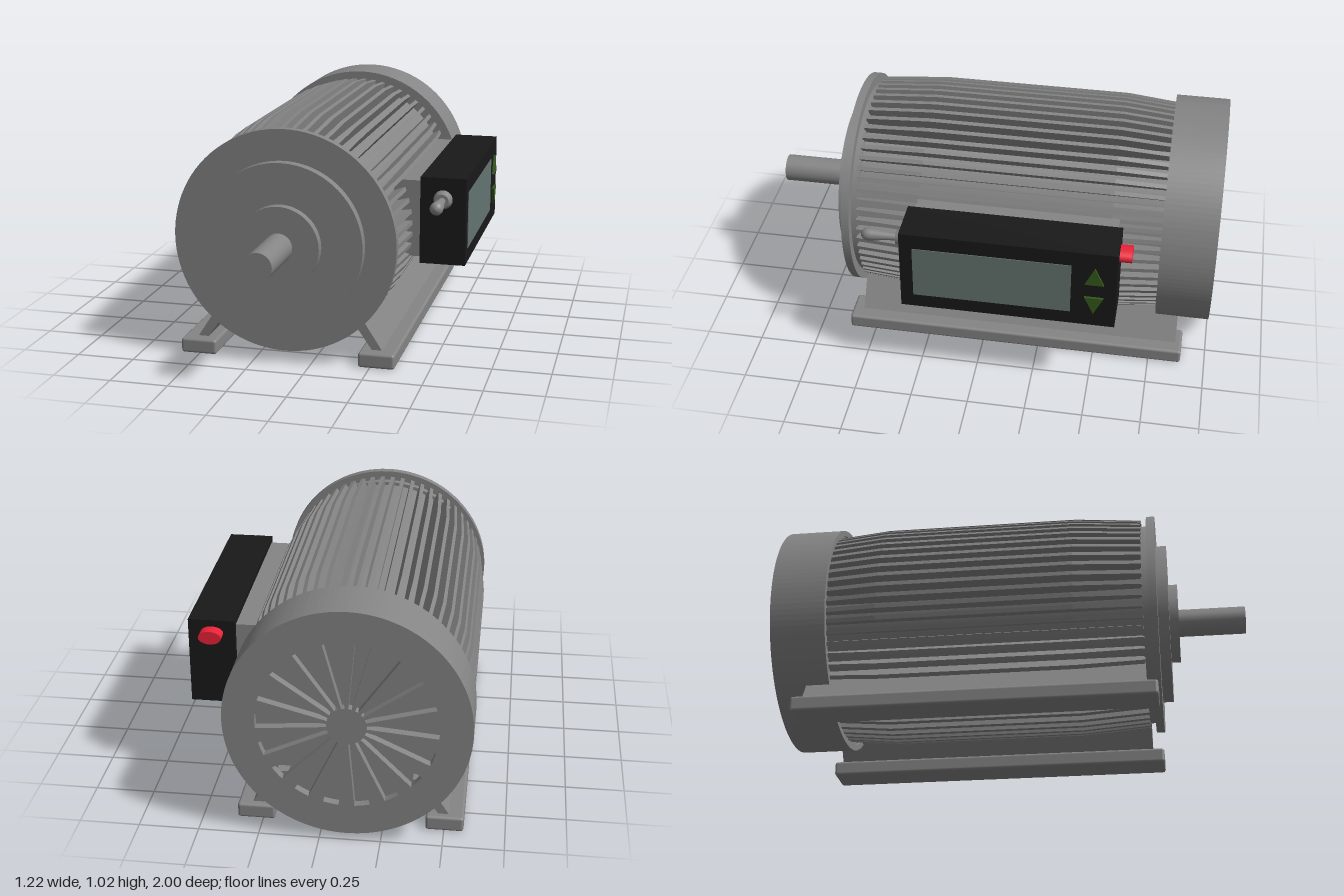
import * as THREE from 'three';
import { RoundedBoxGeometry } from 'three/addons/geometries/RoundedBoxGeometry.js';

const AX = -0.112, AY = 0.528; // motor axis
const mat = (color) => new THREE.MeshStandardMaterial({ color });

export function createModel() {
  const grey = mat(0x858585), black = mat(0x191919), screenMat = mat(0x657572);
  const red = mat(0xec2238), green = mat(0x355a1b);
  const model = new THREE.Group();
  model.name = 'electricMotor';

  const add = (parent, name, geometry, material, x = 0, y = 0, z = 0) => {
    const mesh = new THREE.Mesh(geometry, material);
    mesh.name = name;
    mesh.position.set(x, y, z);
    parent.add(mesh);
    return mesh;
  };
  const box = (name, m, x0, x1, y0, y1, z0, z1) =>
    add(model, name, new THREE.BoxGeometry(x1 - x0, y1 - y0, z1 - z0), m,
      (x0 + x1) / 2, (y0 + y1) / 2, (z0 + z1) / 2);

  // Everything turned about the motor axis
  const motor = new THREE.Group();
  motor.name = 'motor';
  motor.position.set(AX, AY, 0);
  model.add(motor);
  const disc = (name, r, z0, z1) =>
    add(motor, name, new THREE.CylinderGeometry(r, r, z1 - z0, 96).rotateX(Math.PI / 2),
      grey, 0, 0, (z0 + z1) / 2);

  disc('core', 0.42, -0.78, 0.57);
  disc('rearFlange', 0.475, -0.82, -0.775);
  disc('frontNeck', 0.435, 0.56, 0.595);
  disc('frontFlange', 0.477, 0.59, 0.625);
  disc('bearingCover', 0.345, 0.62, 0.67);
  disc('bearingBoss', 0.172, 0.66, 0.71);
  disc('shaft', 0.06, 0.7, 1);

  // Cooling fins, lower towards both ends
  const finShape = new THREE.Shape([
    [-0.78, 0.4], [0.565, 0.4], [0.565, 0.46], [0.28, 0.482], [-0.55, 0.482], [-0.78, 0.46],
  ].map(([z, r]) => new THREE.Vector2(z, r)));
  const finGeo = new THREE.ExtrudeGeometry(finShape, { depth: 0.018, bevelEnabled: false });
  finGeo.translate(0, 0, -0.009).rotateY(-Math.PI / 2);
  const fins = new THREE.Group();
  fins.name = 'coolingFins';
  fins.position.x = -0.005;
  motor.add(fins);
  const FINS = 60;
  for (let i = 0; i < FINS; i++) {
    add(fins, 'fin', finGeo, grey).rotation.z = ((i + 0.5) / FINS) * Math.PI * 2;
  }

  // Fan cover: open ring plus a slotted back plate
  const ring = new THREE.Shape().absarc(0, 0, 0.497, 0, Math.PI * 2);
  ring.holes.push(new THREE.Path().absarc(0, 0, 0.472, 0, Math.PI * 2, true));
  add(motor, 'fanCoverRing', new THREE.ExtrudeGeometry(ring,
    { depth: 0.2, bevelEnabled: false, curveSegments: 64 }), grey, 0, 0, -0.965);
  const plate = new THREE.Shape().absarc(0, 0, 0.497, 0, Math.PI * 2);
  const SLOTS = 18, half = Math.PI / SLOTS / 2;
  for (let i = 0; i < SLOTS; i++) {
    const a = (i / SLOTS) * Math.PI * 2;
    const slot = new THREE.Path();
    slot.absarc(0, 0, 0.365, a - half, a + half, false);
    slot.absarc(0, 0, 0.08, a + half, a - half, true);
    slot.closePath();
    plate.holes.push(slot);
  }
  add(motor, 'fanCoverGrille', new THREE.ExtrudeGeometry(plate,
    { depth: 0.035, bevelEnabled: false, curveSegments: 64 }), grey, 0, 0, -1);

  // Feet: a slanted web on a long rail, mirrored about the motor axis
  for (const s of [1, -1]) {
    const foot = new THREE.Group();
    foot.name = s > 0 ? 'leftFoot' : 'rightFoot';
    foot.position.x = AX;
    model.add(foot);
    add(foot, 'footRail', new RoundedBoxGeometry(0.157, 0.065, 1.51, 2, 0.012), grey,
      s * 0.39, 0.0325, -0.139);
    const pts = [[0.412, 0.055], [0.305, 0.22], [0.255, 0.22], [0.368, 0.055]]
      .map(([x, y]) => new THREE.Vector2(s * x, y));
    add(foot, 'footWeb', new THREE.ExtrudeGeometry(new THREE.Shape(pts),
      { depth: 1.43, bevelEnabled: false }), grey, 0, 0, -0.865);
  }

  // Control box on its mounting block
  box('controlMount', grey, 0.28, 0.41, 0.405, 0.74, -0.585, 0.285);
  box('controlBox', black, 0.4, 0.597, 0.383, 0.762, -0.605, 0.31);
  box('screen', screenMat, 0.58, 0.6, 0.447, 0.692, -0.415, 0.255);

  // Up and down arrow keys
  for (const [name, y, d] of [['upKey', 0.648, 1], ['downKey', 0.495, -1]]) {
    const tri = new THREE.Shape([[-0.04, -0.042 * d], [0.04, -0.042 * d], [0, 0.042 * d]]
      .map(([u, v]) => new THREE.Vector2(u, v)));
    const geo = new THREE.ExtrudeGeometry(tri, { depth: 0.027, bevelEnabled: false });
    add(model, name, geo.rotateY(Math.PI / 2), green, 0.58, y, -0.513);
  }

  // Oval push button at the rear
  const button = new THREE.CylinderGeometry(0.048, 0.048, 0.06, 40).rotateX(Math.PI / 2);
  add(model, 'pushButton', button.scale(1, 0.6, 1), red, 0.498, 0.705, -0.627);

  // Toggle switch at the front
  const collar = new THREE.CylinderGeometry(0.03, 0.042, 0.035, 32).rotateX(Math.PI / 2);
  add(model, 'switchCollar', collar, grey, 0.498, 0.668, 0.325);
  const lever = [[0.016, 0], [0.018, 0.05], [0.027, 0.12], [0.028, 0.14], [0.022, 0.155], [0.012, 0.163], [0, 0.165]]
    .map(([r, h]) => new THREE.Vector2(r, h));
  add(model, 'switchLever', new THREE.LatheGeometry(lever, 32).rotateX(Math.PI / 2),
    grey, 0.498, 0.668, 0.33);

  return model;
}
